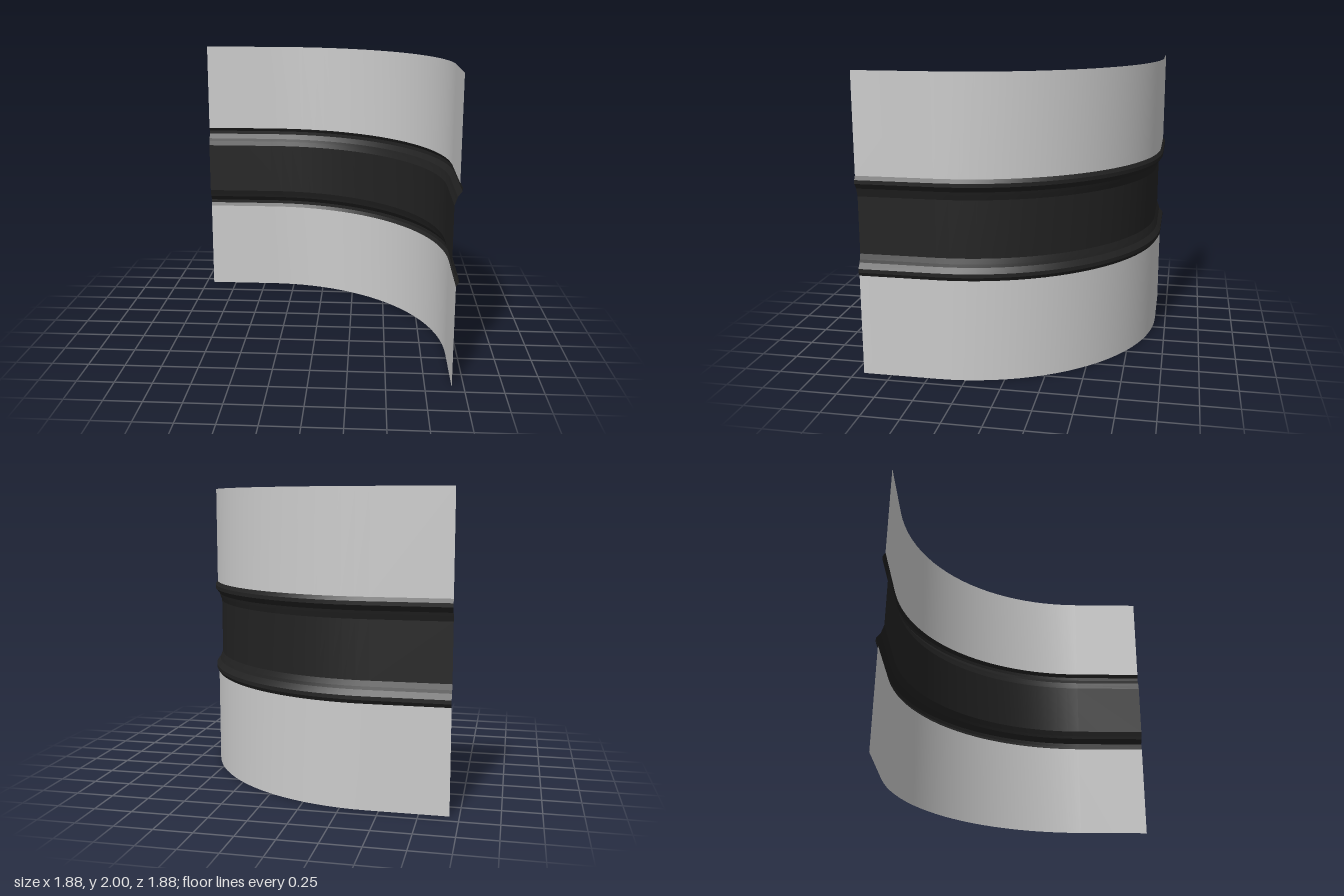
import * as THREE from 'three';
import { mergeGeometries } from 'three/addons/utils/BufferGeometryUtils.js';

const CENTRE = 0.432;   // arc centre is at (-CENTRE, +CENTRE) in plan
const END = 0.94;       // where the straight ends stop
const SEGMENTS = 24;

// Plan line at distance d from the axis: straight, quarter arc, straight
function planPoints(d) {
  const r = d + CENTRE;
  const points = [[-END, -d]];
  for (let i = 0; i <= SEGMENTS; i++) {
    const a = (i / SEGMENTS) * Math.PI / 2;
    points.push([-CENTRE + r * Math.sin(a), CENTRE - r * Math.cos(a)]);
  }
  points.push([d, END]);
  return points;
}

// One strip between two profile points [d, y], smooth along its length
function strip([d0, y0], [d1, y1]) {
  const low = planPoints(d0), high = planPoints(d1);
  const positions = [], index = [];
  low.forEach(([x, z], i) => {
    positions.push(x, y0, z, high[i][0], y1, high[i][1]);
    if (i > 0) {
      const a = 2 * (i - 1);
      index.push(a, a + 1, a + 2, a + 1, a + 3, a + 2);
    }
  });
  const geometry = new THREE.BufferGeometry();
  geometry.setAttribute('position', new THREE.Float32BufferAttribute(positions, 3));
  geometry.setIndex(index);
  geometry.computeVertexNormals();
  return geometry;
}

// Sweep a profile along the plan line, with crisp edges between strips
function sweep(name, profile, color) {
  const strips = profile.slice(1).map((p, i) => strip(profile[i], p));
  const material = new THREE.MeshStandardMaterial({ color, side: THREE.DoubleSide });
  const mesh = new THREE.Mesh(mergeGeometries(strips), material);
  mesh.name = name;
  return mesh;
}

export function createModel() {
  const group = new THREE.Group();
  group.name = 'curvedWallPanel';

  // Plain wall sheets below and above the band
  group.add(sweep('lowerWall', [[0.922, 0], [0.922, 0.68]], 0xcccccc));
  group.add(sweep('upperWall', [[0.922, 1.34], [0.922, 2]], 0xcccccc));

  // Recessed dark band with a raised moulding along each edge
  const edge = [[0.922, 0.33], [0.938, 0.305], [0.938, 0.28], [0.911, 0.245], [0.905, 0.225], [0.893, 0.19]];
  const middle = 1.01;
  const profile = [
    ...edge.map(([d, h]) => [d, middle - h]),
    ...edge.slice().reverse().map(([d, h]) => [d, middle + h]),
  ];
  group.add(sweep('recessedBand', profile, 0x222222));

  return group;
}
